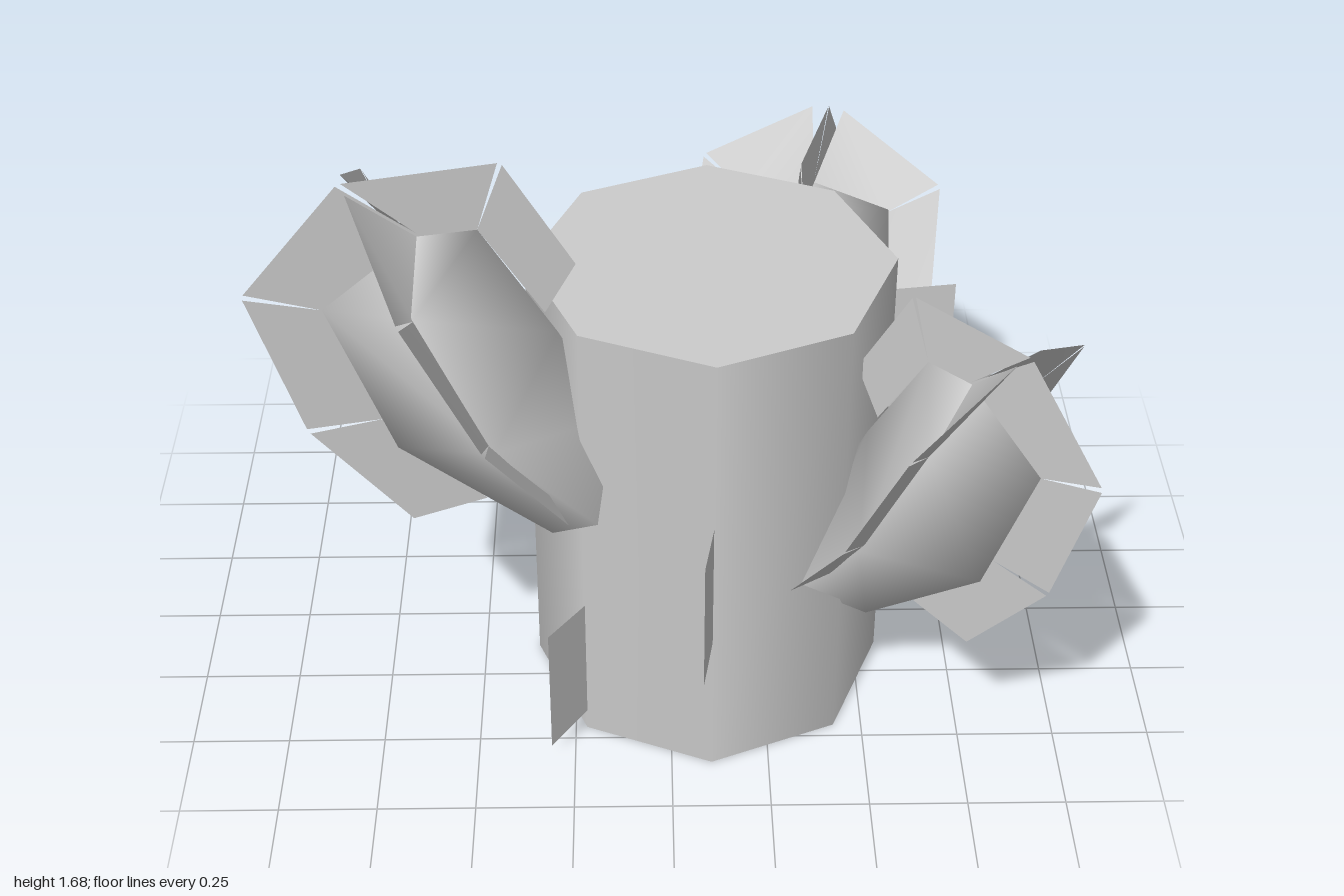
import * as THREE from 'three';

const material = new THREE.MeshStandardMaterial({ color: 0xcccccc });
const thin = new THREE.MeshStandardMaterial({ color: 0xcccccc, side: THREE.DoubleSide });
const TRUNK = { x: 0.103, z: 0.135, r: 0.458, h: 1.25, sides: 8 };
const ARM_SIDES = 4;

function addMesh(parent, geometry, mat, name) {
  const mesh = new THREE.Mesh(geometry, mat);
  mesh.name = name;
  parent.add(mesh);
}

function buildGeometry(positions, index) {
  const g = new THREE.BufferGeometry();
  g.setAttribute('position', new THREE.Float32BufferAttribute(positions, 3));
  g.setIndex(index);
  g.computeVertexNormals();
  return g;
}

// Separate flat quads between an inner and an outer edge line, with small gaps
function finStrip(inner, outer) {
  const positions = [], index = [];
  for (let i = 0; i < inner.length - 1; i++) {
    const [a, b, c, d] = [inner[i], inner[i + 1], outer[i + 1], outer[i]].map(p => new THREE.Vector3(...p));
    const c2 = c.clone().lerp(d, 0.02), d2 = d.clone().lerp(c, 0.02);
    const n = positions.length / 3;
    for (const p of [a, b, c2, d2]) positions.push(p.x, p.y, p.z);
    index.push(n, n + 2, n + 1, n, n + 3, n + 2);
  }
  return buildGeometry(positions, index);
}

// Bent four-sided arm, lofted through tilted rings: [outer x, outer y, inner x, inner y, half depth]
function armGeometry() {
  const base = [0.10, -0.17, -0.06, 0.17, 0.20];
  const rings = [
    [0.02, 0, 0.02, 0, 0], base, base,
    [0.47, 0.16, 0.07, 0.44, 0.26],
    [0.62, 0.58, 0.25, 0.75, 0.215],
    [0.39, 0.75, 0.39, 0.75, 0],
  ];
  const positions = [], index = [];
  rings.forEach(([ox, oy, ix, iy, w], i) => {
    for (let j = 0; j < ARM_SIDES; j++) {
      const a = (j / ARM_SIDES) * Math.PI * 2, t = Math.cos(a) / 2;
      positions.push((ox + ix) / 2 + (ox - ix) * t, (oy + iy) / 2 + (oy - iy) * t, w * Math.sin(a));
      if (i === rings.length - 1) continue;
      const k = (j + 1) % ARM_SIDES, low = i * ARM_SIDES, up = low + ARM_SIDES;
      index.push(low + j, up + j, up + k, low + j, up + k, low + k);
    }
  });
  return buildGeometry(positions, index);
}

function createArm() {
  const arm = new THREE.Group();
  addMesh(arm, armGeometry(), material, 'armBody');

  // Ridge running over the arm, from underneath to the inner side
  const ridgeIn = [[0.26, -0.03], [0.5, 0.25], [0.62, 0.58], [0.38, 0.75], [0.25, 0.75], [0.1, 0.5]];
  const ridgeOut = [[0.44, -0.07], [0.68, 0.24], [0.8, 0.64], [0.56, 0.91], [0.19, 0.92], [0.02, 0.62]];
  const flat = list => list.map(([x, y]) => [x, y, 0]);
  addMesh(arm, finStrip(flat(ridgeIn), flat(ridgeOut)), thin, 'ridgeFin');

  // Mirrored side fins meeting over the tip
  for (const s of [1, -1]) {
    const inner = [[0.14, 0.12, 0.2 * s], [0.28, 0.32, 0.25 * s], [0.43, 0.66, 0.21 * s], [0.39, 0.75, 0]];
    const outer = [[0.11, 0.12, 0.34 * s], [0.31, 0.38, 0.37 * s], [0.48, 0.74, 0.35 * s], [0.55, 0.91, 0.04 * s]];
    // The mirrored strip runs the same way, so both flanks share one facing
    addMesh(arm, finStrip(inner, outer), thin, s > 0 ? 'sideFinA' : 'sideFinB');
  }
  return arm;
}

export function createModel() {
  const model = new THREE.Group();
  model.name = 'cactus';

  // Trunk, corners on the axes
  const trunk = new THREE.CylinderGeometry(TRUNK.r, TRUNK.r, TRUNK.h, TRUNK.sides);
  trunk.translate(TRUNK.x, TRUNK.h / 2, TRUNK.z);
  addMesh(model, trunk, material, 'trunk');

  // Arms: position, turn and scale
  const arms = [
    ['rightArm', [-0.2, 0.76, 0.355], Math.PI + 0.2, 1],
    ['leftArm', [0.435, 0.505, 0.345], -Math.PI / 4, 0.93],
    ['backArm', [0.3, 0.37, -0.165], 1.29, 0.945],
  ];
  for (const [name, position, turn, scale] of arms) {
    const arm = createArm();
    arm.name = name;
    arm.position.set(...position);
    arm.rotation.y = turn;
    arm.scale.setScalar(scale);
    model.add(arm);
  }

  // Thin plates on the trunk corners: angle in degrees towards +z, bottom height, splay
  const plates = [
    ['leftPlate', 0, 0.8, -0.03],
    ['frontPlate', 90, 0.41, 0.045],
    ['frontRightPlate', 135, 0.06, -0.04],
    ['backRightPlate', 225, 0.04, 0.03],
  ];
  for (const [name, degrees, y, splay] of plates) {
    const a = THREE.MathUtils.degToRad(degrees);
    const at = (r, angle, h) => [TRUNK.x + r * Math.cos(angle), h, TRUNK.z + r * Math.sin(angle)];
    const inner = [at(TRUNK.r - 0.01, a, y), at(TRUNK.r - 0.01, a, y + 0.36)];
    const outer = [at(TRUNK.r + 0.15, a + splay, y - 0.015), at(TRUNK.r + 0.15, a + splay, y + 0.37)];
    addMesh(model, finStrip(inner, outer), thin, name);
  }
  return model;
}
